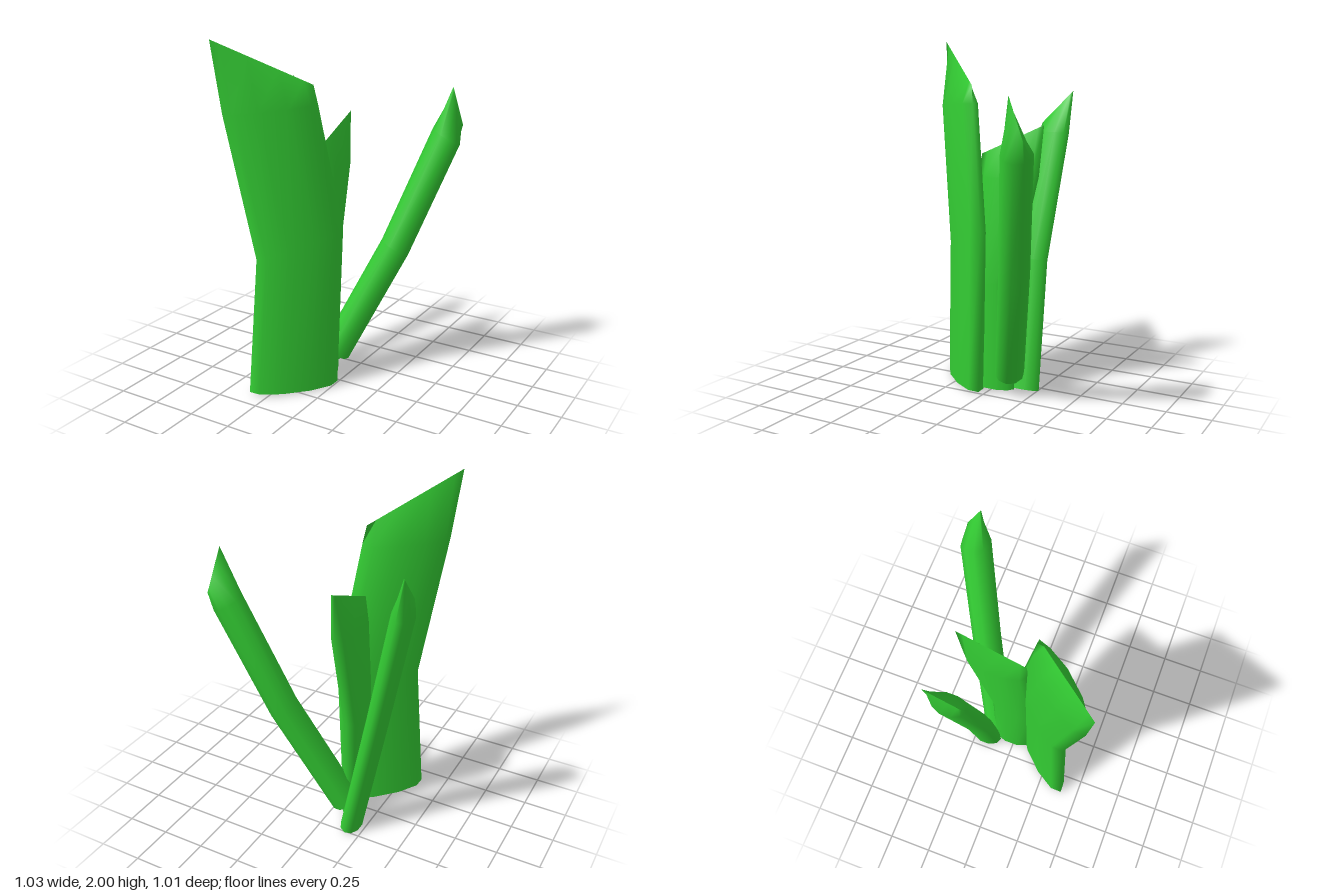
import * as THREE from 'three';

const SIDES = 10;

// Blade: elliptical rings spanning edge points [a, b], half thickness t,
// closed by a flat base and pinched into a slanted ridge at the last pair.
function blade(name, pairs, t, material) {
  const V = p => new THREE.Vector3(...p);
  const thick = V(t);
  const pos = [], idx = [];
  const rings = pairs.map(([a, b], k) => {
    const A = V(a), B = V(b);
    const mid = A.clone().add(B).multiplyScalar(0.5);
    const u = B.clone().sub(A).multiplyScalar(0.5);
    // keep the ring counter-clockwise seen from above
    if (k === 0 && u.clone().cross(thick).y < 0) thick.negate();
    const s = k === pairs.length - 1 ? 0.001 : 1;
    return Array.from({ length: SIDES }, (_, i) => {
      const ang = (i / SIDES) * Math.PI * 2;
      return mid.clone().addScaledVector(u, Math.cos(ang)).addScaledVector(thick, Math.sin(ang) * s);
    });
  });
  rings.forEach(r => r.forEach(p => pos.push(p.x, p.y, p.z)));
  for (let k = 0; k < rings.length - 1; k++) {
    for (let i = 0; i < SIDES; i++) {
      const j = (i + 1) % SIDES, p = k * SIDES, q = p + SIDES;
      idx.push(p + i, p + j, q + j, p + i, q + j, q + i);
    }
  }
  // base cap with its own vertices, so its rim stays sharp
  const c = pos.length / 3;
  rings[0].forEach(p => pos.push(p.x, p.y, p.z));
  for (let i = 1; i < SIDES - 1; i++) idx.push(c, c + i + 1, c + i);

  const geo = new THREE.BufferGeometry();
  geo.setAttribute('position', new THREE.Float32BufferAttribute(pos, 3));
  geo.setIndex(idx);
  geo.computeVertexNormals();
  const mesh = new THREE.Mesh(geo, material);
  mesh.name = name;
  return mesh;
}

// Edge pair from a centre and a half-width vector
const span = (c, w) => [c.map((v, i) => v + w[i]), c.map((v, i) => v - w[i])];

export function createModel() {
  const group = new THREE.Group();
  group.name = 'grassTuft';
  const green = new THREE.MeshStandardMaterial({ color: 0x33cc33, side: THREE.DoubleSide });

  // wide front blade, set diagonally
  group.add(blade('frontBlade', [
    [[-0.36, 0.01, 0.4], [0, 0.01, 0.03]],
    [[-0.315, 0.81, 0.36], [0.022, 0.95, 0.003]],
    [[-0.42, 1.62, 0.475], [-0.073, 1.65, 0.105]],
    [[-0.46, 2, 0.505], [-0.09, 1.75, 0.12]],
  ], [0.055, 0, 0.055], green));

  // middle blade, flat across x
  group.add(blade('middleBlade', [
    [[-0.115, 0.02, -0.14], [-0.115, 0.02, 0.11]],
    [[-0.115, 0.66, -0.14], [-0.115, 0.62, 0.13]],
    [[-0.115, 1.26, -0.285], [-0.115, 1.24, 0.075]],
    [[-0.115, 1.54, -0.313], [-0.115, 1.37, 0.07]],
  ], [0.06, 0, 0], green));

  // slim blade leaning to -x
  const wC = [0, 0, -0.094];
  group.add(blade('rightBlade', [
    span([-0.17, 0.015, -0.178], wC),
    span([-0.31, 0.75, -0.158], wC),
    span([-0.465, 1.47, -0.212], wC),
    [[-0.505, 1.715, -0.313], [-0.485, 1.53, -0.13]],
  ], [0.057, 0.014, 0], green));

  // slim blade leaning to +x and back
  const wD = [0.002, 0.021, 0.08];
  group.add(blade('leftBlade', [
    span([-0.1, 0.12, -0.12], wD),
    span([0.195, 0.78, -0.295], wD),
    span([0.432, 1.43, -0.425], wD),
    [[0.475, 1.715, -0.4], [0.5, 1.49, -0.495]],
  ], [0.08, -0.036, 0.007], green));

  return group;
}
